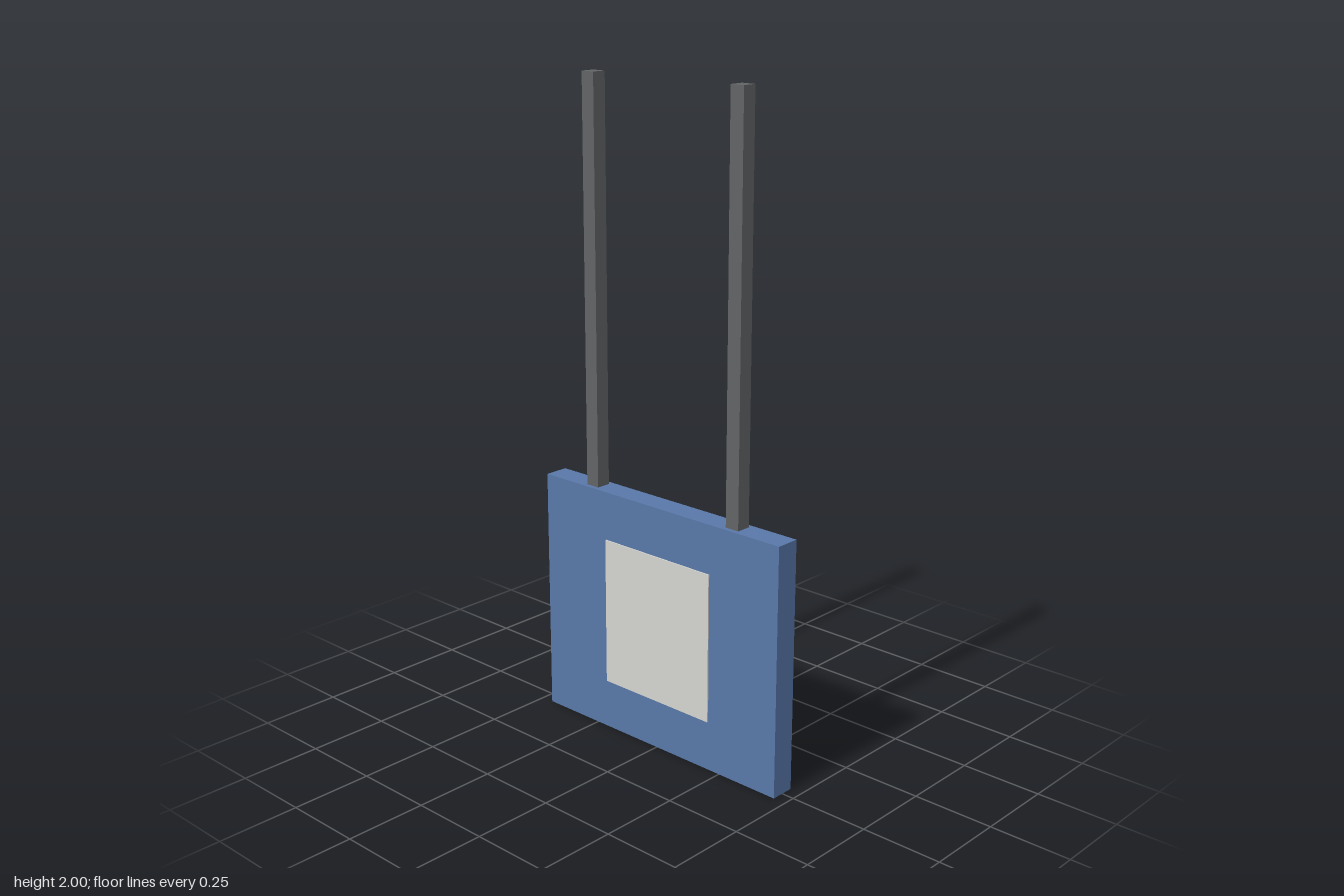
import * as THREE from 'three';

export function createModel() {
  const group = new THREE.Group();
  group.name = 'hangingSign';

  const material = (name, color) => {
    const m = new THREE.MeshStandardMaterial({ color });
    m.name = name;
    return m;
  };
  const blue = material('blue board', 0x5877a8);
  const pale = material('pale grey panel', 0xd4d4d1);
  const grey = material('dark grey post', 0x626466);

  const addBox = (name, mat, size, position) => {
    const mesh = new THREE.Mesh(new THREE.BoxGeometry(...size), mat);
    mesh.name = name;
    mesh.position.set(...position);
    group.add(mesh);
  };

  // Sign board
  const width = 0.92, height = 0.77, depth = 0.076;
  addBox('board', blue, [width, height, depth], [0, height / 2, 0]);

  // Thin panel on each face
  const panelDepth = 0.004;
  for (const [name, side] of [['frontPanel', 1], ['backPanel', -1]]) {
    addBox(name, pale, [0.414, 0.464, panelDepth],
      [0, 0.387, side * (depth + panelDepth) / 2]);
  }

  // Two square hanging posts
  const postHeight = 2 - height;
  for (const [name, side] of [['leftPost', 1], ['rightPost', -1]]) {
    addBox(name, grey, [0.046, postHeight, 0.046],
      [side * 0.277, height + postHeight / 2, 0]);
  }

  return group;
}
